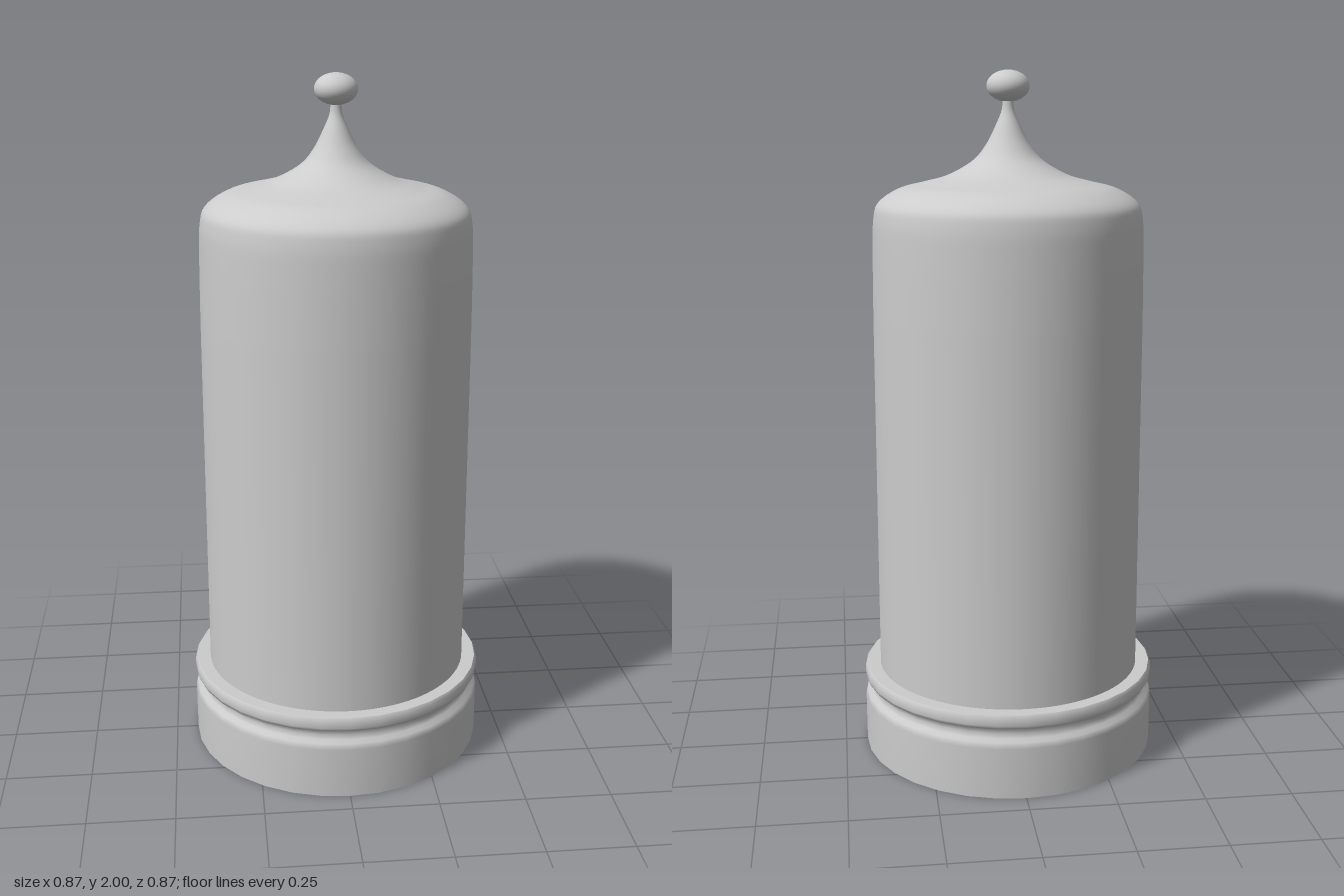
import * as THREE from 'three';

const pts = (list) => list.map(([r, y]) => new THREE.Vector2(r, y));

export function createModel() {
  const group = new THREE.Group();
  group.name = 'bellJar';
  const grey = new THREE.MeshStandardMaterial({ color: 0xcccccc });
  grey.name = 'grey';

  const lathe = (name, profile, sides) => {
    const mesh = new THREE.Mesh(new THREE.LatheGeometry(profile, sides), grey);
    mesh.name = name;
    group.add(mesh);
    return mesh;
  };

  // Turned base with a groove below the rim; flat underside
  lathe('baseUnderside', pts([[0, 0], [0.435, 0]]), 32);
  lathe('base', pts([
    [0.435, 0], [0.436, 0.15], [0.432, 0.168], [0.418, 0.174], [0.416, 0.19],
    [0.418, 0.206], [0.432, 0.21], [0.436, 0.22], [0.436, 0.24], [0.43, 0.25],
  ]), 32);
  lathe('baseTop', pts([[0.43, 0.25], [0, 0.25]]), 32);

  // Dome: straight wall, rounded shoulder and flared neck
  const shoulder = new THREE.SplineCurve(pts([
    [0.39, 1.3], [0.388, 1.5], [0.384, 1.59], [0.368, 1.635], [0.31, 1.672],
    [0.24, 1.69], [0.17, 1.71], [0.1, 1.75], [0.062, 1.795], [0.034, 1.85],
    [0.018, 1.89], [0.015, 1.93],
  ]));
  lathe('dome', [...pts([[0.39, 0.2], [0.39, 0.8]]), ...shoulder.getPoints(60)], 96);

  // Flattened knob
  const knob = new THREE.Mesh(new THREE.SphereGeometry(0.061, 40, 24), grey);
  knob.name = 'knob';
  knob.scale.y = 0.72;
  knob.position.y = 1.956;
  group.add(knob);

  return group;
}
